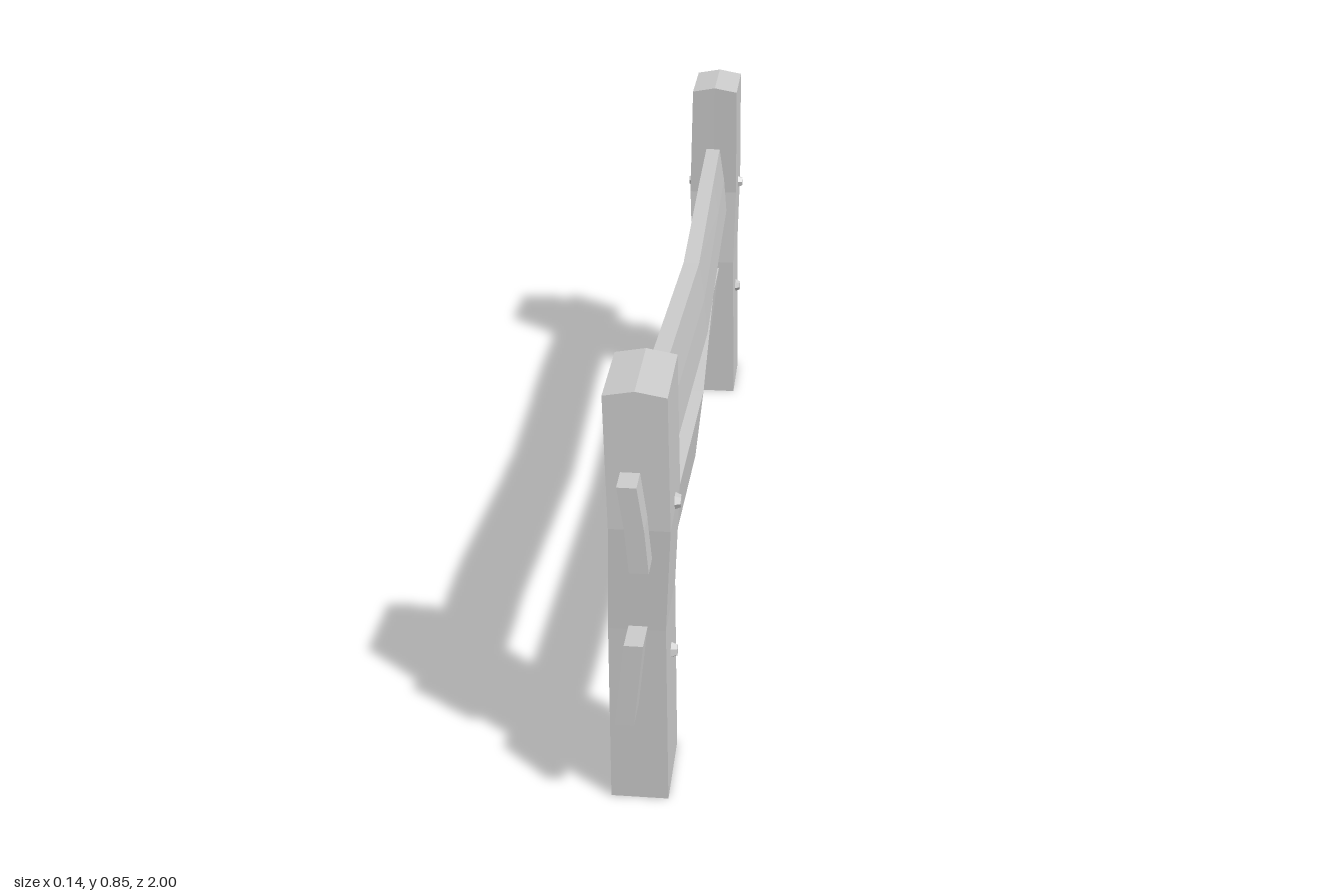
import * as THREE from 'three';

const material = new THREE.MeshStandardMaterial({ color: 0xcccccc, flatShading: true });

// Skin six-point rings (counter-clockwise seen from the last ring) and close both ends.
function loft(rings) {
  const pos = [];
  const quad = (a, b, c, d) => [a, b, c, a, c, d].forEach((p) => pos.push(...p));
  const n = rings[0].length;
  for (let k = 0; k < rings.length - 1; k++) {
    for (let i = 0; i < n; i++) {
      const j = (i + 1) % n;
      quad(rings[k][i], rings[k][j], rings[k + 1][j], rings[k + 1][i]);
    }
  }
  const first = rings[0], last = rings[rings.length - 1];
  for (let i = 0; i < n / 2 - 1; i++) {
    quad(last[i], last[i + 1], last[n - 2 - i], last[n - 1 - i]);
    quad(first[n - 1 - i], first[n - 2 - i], first[i + 1], first[i]);
  }
  const g = new THREE.BufferGeometry();
  g.setAttribute('position', new THREE.Float32BufferAttribute(pos, 3));
  g.computeVertexNormals();
  return g;
}

function part(name, geometry) {
  const mesh = new THREE.Mesh(geometry, material);
  mesh.name = name;
  return mesh;
}

// Post levels: [y, left x, right x, back z, front z]; the top has a low ridge.
function post(name, levels) {
  return part(name, loft(levels.map(([y, x0, x1, z0, z1], k) => {
    const mid = (x0 + x1) / 2;
    const peak = k === levels.length - 1 ? y + 0.01 : y;
    return [[x0, y, z1], [mid, peak, z1], [x1, y, z1], [x1, y, z0], [mid, peak, z0], [x0, y, z0]];
  })));
}

// Rail stations: [z, bottom y, top y, sideways bend]; lean gives x at top, middle, bottom.
function rail(name, lean, stations) {
  const t = 0.017;
  return part(name, loft(stations.map(([z, y0, y1, bend]) => {
    const rows = [y1, (y0 + y1) / 2, y0].map((y, i) => [lean[i] + bend, y]);
    return [
      ...rows.map(([x, y]) => [x - t, y, z]),
      ...rows.reverse().map(([x, y]) => [x + t, y, z]),
    ];
  })));
}

export function createModel() {
  const group = new THREE.Group();
  group.name = 'fence';

  // Slightly crooked posts
  group.add(post('frontPost', [
    [0, -0.055, 0.052, 0.765, 0.93],
    [0.38, -0.053, 0.05, 0.772, 0.935],
    [0.59, -0.048, 0.06, 0.777, 0.943],
    [0.84, -0.055, 0.055, 0.765, 0.932],
  ]));
  group.add(post('backPost', [
    [0, -0.059, 0.057, -0.91, -0.743],
    [0.38, -0.055, 0.052, -0.908, -0.74],
    [0.57, -0.062, 0.056, -0.921, -0.755],
    [0.84, -0.055, 0.055, -0.91, -0.745],
  ]));

  // Warped rails
  group.add(rail('upperRail', [-0.009, 0.003, 0.01], [
    [-1, 0.512, 0.68, 0],
    [-0.5, 0.53, 0.695, 0.01],
    [0, 0.521, 0.688, 0.018],
    [0.55, 0.54, 0.709, 0.003],
    [0.988, 0.532, 0.699, 0],
  ]));
  group.add(rail('lowerRail', [0, -0.009, -0.018], [
    [-0.975, 0.2, 0.367, 0],
    [-0.58, 0.192, 0.36, -0.004],
    [0, 0.211, 0.378, 0.02],
    [0.5, 0.205, 0.373, 0.004],
    [1, 0.22, 0.39, 0],
  ]));

  // Faceted pegs on both faces of each post: [y, z, left x, right x]
  const pegs = [
    [0.603, 0.86, -0.047, 0.059],
    [0.28, 0.85, -0.053, 0.051],
    [0.57, -0.84, -0.061, 0.056],
    [0.277, -0.83, -0.056, 0.054],
  ];
  const pegGeometry = new THREE.CylinderGeometry(0.011, 0.02, 0.022, 6);
  pegs.forEach(([y, z, x0, x1], i) => {
    for (const [x, side] of [[x0, -1], [x1, 1]]) {
      const peg = part('peg', pegGeometry);
      peg.rotation.set(i * 0.4, 0, -side * Math.PI / 2);
      peg.position.set(x, y, z);
      group.add(peg);
    }
  });
  return group;
}
